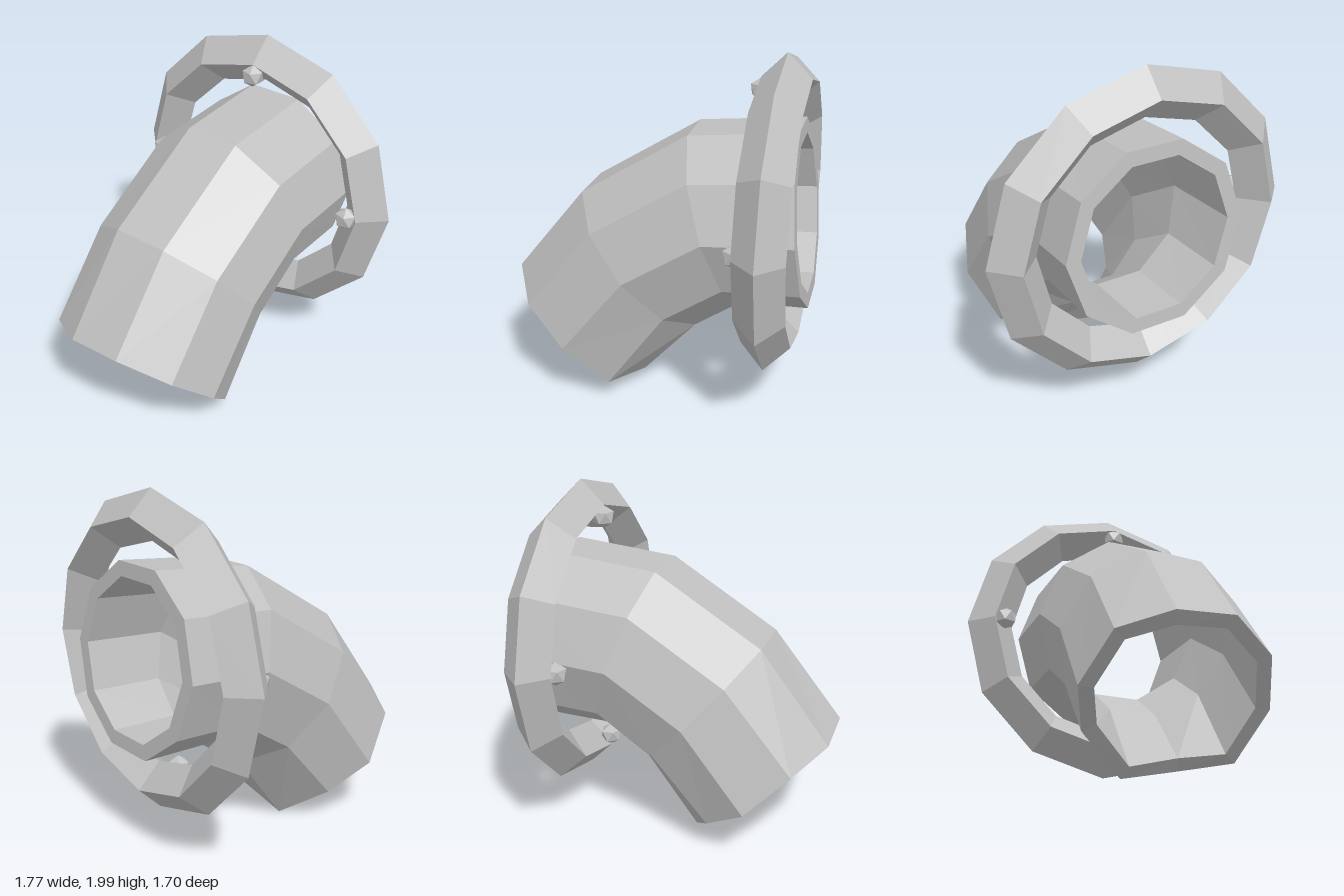
import * as THREE from 'three';

// Split every face so normals stay flat
function faceted(geometry) {
  const g = geometry.index ? geometry.toNonIndexed() : geometry;
  g.computeVertexNormals();
  return g;
}

// Hollow ten-sided elbow: outer skin, front rim, inner skin and back rim in one loop
function elbowGeometry() {
  const sides = 10, outer = 0.53, inner = 0.445;
  // Bend stations: centre y, centre z, tilt in degrees
  const stations = [
    [1.112, -0.81, 5.5],
    [1.077, -0.32, 18.4],
    [0.80, 0.115, 41.4],
    [0.345, 0.465, 49],
  ];
  // Uneven heights around the broken front rim
  const chips = [0.015, 0.012, 0.005, -0.02, 0.022, 0.003, 0.056, 0, 0.075, -0.018];
  const loop = [
    ...stations.map((s) => [s, outer]),
    ...stations.slice().reverse().map((s) => [s, inner]),
  ];
  const positions = [], index = [];
  loop.forEach(([s, radius], i) => {
    const [cy, cz, tilt] = s;
    const t = THREE.MathUtils.degToRad(tilt);
    const next = (i + 1) % loop.length;
    for (let j = 0; j < sides; j++) {
      const a = (j / sides) * Math.PI * 2;
      const up = radius * Math.sin(a);
      const chip = s === stations[3] ? chips[j] : 0;
      positions.push(radius * Math.cos(a), cy + up * Math.cos(t) + chip, cz + up * Math.sin(t));
      const k = (j + 1) % sides;
      const p = i * sides + j, q = i * sides + k;
      const r = next * sides + k, w = next * sides + j;
      index.push(p, q, r, p, r, w);
    }
  });
  const g = new THREE.BufferGeometry();
  g.setAttribute('position', new THREE.Float32BufferAttribute(positions, 3));
  g.setIndex(index);
  return faceted(g);
}

export function createModel() {
  const model = new THREE.Group();
  model.name = 'pipeElbow';
  const metal = new THREE.MeshStandardMaterial({ color: 0xc0c0c0 });
  metal.name = 'grey metal';

  const add = (name, geometry, x, y, z) => {
    const mesh = new THREE.Mesh(geometry, metal);
    mesh.name = name;
    mesh.position.set(x, y, z);
    model.add(mesh);
  };

  add('pipe', elbowGeometry(), 0, 0, 0);

  // Diamond-section flange ring around the back of the pipe
  const ringY = 1.113, ringZ = -0.66;
  add('flangeRing', faceted(new THREE.TorusGeometry(0.75, 0.137, 4, 12)), 0, ringY, ringZ);

  // Four bolts on the front of the ring, each standing on a point
  const bolt = new THREE.IcosahedronGeometry(0.067, 0);
  bolt.rotateX(-Math.atan((1 + Math.sqrt(5)) / 2));
  bolt.rotateY(Math.PI / 2);
  const boltShape = faceted(bolt);
  for (let i = 0; i < 4; i++) {
    const a = (i * Math.PI) / 2;
    add('bolt' + (i + 1), boltShape, 0.682 * Math.cos(a), ringY + 0.682 * Math.sin(a), -0.53);
  }
  return model;
}
